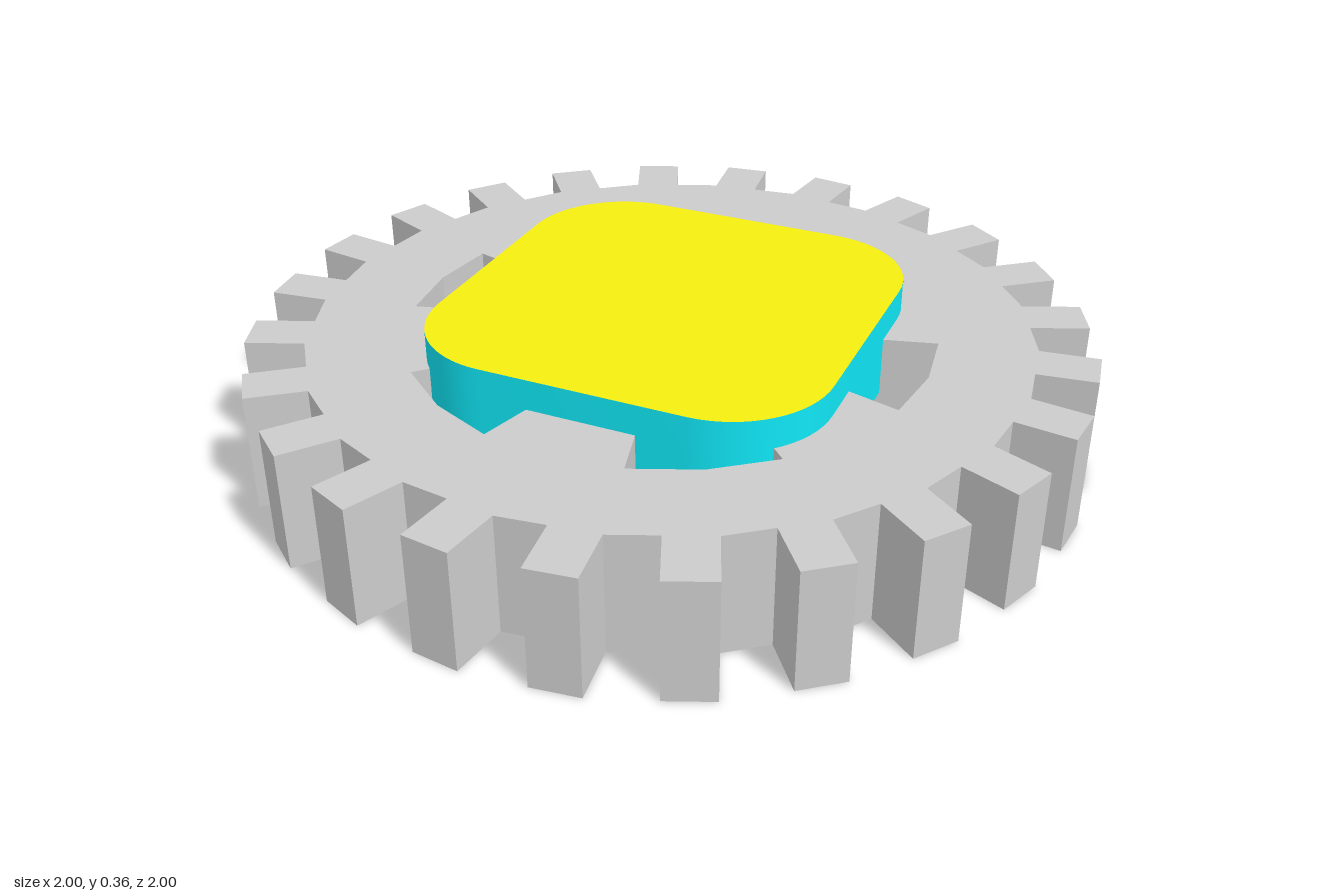
import * as THREE from 'three';
import { toCreasedNormals } from 'three/addons/utils/BufferGeometryUtils.js';

const TEETH = 24;
const STEP = (Math.PI * 2) / TEETH;
const GEAR_HEIGHT = 0.286;

const polar = (r, a) => new THREE.Vector2(r * Math.cos(a), r * Math.sin(a));

// Extrudes a flat outline upwards from y0 to y1
function extrudeUp(shape, y0, y1, crease, curveSegments) {
  const geo = new THREE.ExtrudeGeometry(shape, { depth: y1 - y0, bevelEnabled: false, curveSegments });
  geo.rotateX(-Math.PI / 2).translate(0, y0, 0);
  return toCreasedNormals(geo, crease);
}

// Gear outline: straight-sided teeth, each with one radial flank, on a 24-sided rim
function gearShape() {
  const rim = 0.86 * Math.cos(STEP / 2);
  const width = 0.86 * Math.sin(STEP / 2);
  const tip = 0.994;
  const points = [];
  for (let i = 0; i < TEETH; i++) {
    const a = (i + 0.5) * STEP;
    for (const [x, y] of [[rim, 0], [tip, 0], [tip, width], [rim, width]]) {
      points.push(new THREE.Vector2(x, y).rotateAround(new THREE.Vector2(), a));
    }
  }
  const shape = new THREE.Shape(points);

  // Axle hole
  shape.holes.push(new THREE.Path().absarc(0, 0, 0.17, 0, Math.PI * 2, true));

  // Six slots between the spokes
  for (let i = 0; i < 6; i++) {
    const a = (i * Math.PI) / 3;
    const outer = [-1, 0, 1].map((k) => polar(0.63, a + k * STEP));
    const inner = [1, 0, -1].map((k) => polar(0.4, a + k * STEP));
    shape.holes.push(new THREE.Path([...outer, ...inner]));
  }
  return shape;
}

// Square with rounded corners
function plateShape(h, r) {
  const c = h - r;
  const q = Math.PI / 2;
  const shape = new THREE.Shape();
  [[c, c], [-c, c], [-c, -c], [c, -c]].forEach(([x, y], i) => shape.absarc(x, y, r, i * q, (i + 1) * q, false));
  shape.closePath();
  return shape;
}

export function createModel() {
  const group = new THREE.Group();
  group.name = 'gearWithPlate';
  const grey = new THREE.MeshStandardMaterial({ color: 0xcccccc });
  const yellow = new THREE.MeshStandardMaterial({ color: 0xf5ee10 });
  const cyan = new THREE.MeshStandardMaterial({ color: 0x10e6f5 });

  const gear = new THREE.Mesh(extrudeUp(gearShape(), 0, GEAR_HEIGHT, 0.23, 16), grey);
  gear.name = 'gearWheel';

  // Plate is sunk into the upper half of the gear
  const plate = new THREE.Mesh(extrudeUp(plateShape(0.485, 0.24), GEAR_HEIGHT / 2, 0.36, 0.5, 8), [yellow, cyan]);
  plate.name = 'topPlate';

  group.add(gear, plate);
  return group;
}
